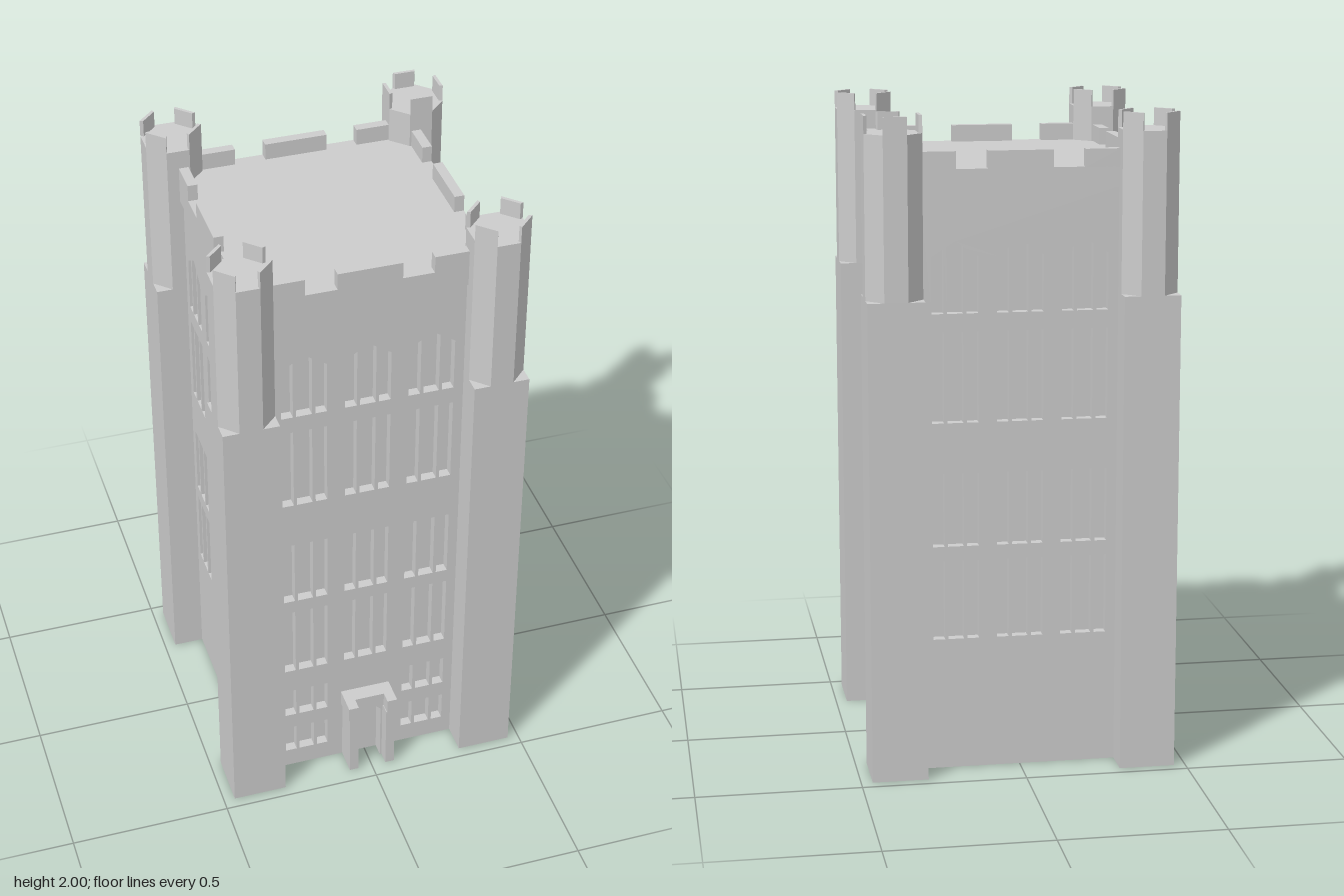
import * as THREE from 'three';

const H = 2, CORNER = 0.38, HALF = 0.085;   // turret centres and half-width
const WALL = 0.37, DEPTH = 0.03;            // wall face and window depth
const material = new THREE.MeshStandardMaterial({ color: 0xcccccc, flatShading: true });

function add(parent, name, geometry, x = 0, y = 0, z = 0) {
  const mesh = new THREE.Mesh(geometry, material);
  mesh.name = name;
  mesh.position.set(x, y, z);
  parent.add(mesh);
  return mesh;
}

// Box given by its extents
function block(parent, name, x0, x1, y0, y1, z0, z1) {
  return add(parent, name, new THREE.BoxGeometry(x1 - x0, y1 - y0, z1 - z0),
    (x0 + x1) / 2, (y0 + y1) / 2, (z0 + z1) / 2);
}

const polygon = (Type, pts) => new Type(pts.map(p => new THREE.Vector2(...p)));

// Three upright lights separated by thin mullions, optionally under a pointed head
function windowHoles(cx, y0, y1, pointed) {
  const spans = [[-0.07, -0.034], [-0.024, 0.024], [0.034, 0.07]];
  const top = x => pointed ? y1 - Math.abs(x) * 0.65 : y1;
  return spans.map(([a, b]) => {
    const pts = [[cx + a, y0], [cx + b, y0], [cx + b, top(b)]];
    if (pointed && a < 0 && b > 0) pts.push([cx, y1]);
    pts.push([cx + a, top(a)]);
    return polygon(THREE.Path, pts);
  });
}

// Wall panel pierced by its windows
function wallGeometry(lowerCentres) {
  const shape = polygon(THREE.Shape, [[-0.3, 0], [0.3, 0], [0.3, 1.78], [-0.3, 1.78]]);
  const upper = [[0.41, 0.655], [0.7, 0.925], [1.08, 1.355], [1.41, 1.625]];
  const lower = [[0.065, 0.165], [0.22, 0.325]];
  for (const cx of [-0.195, 0, 0.195])
    upper.forEach(([a, b], i) => shape.holes.push(...windowHoles(cx, a, b, i === 3)));
  for (const cx of lowerCentres)
    lower.forEach(([a, b]) => shape.holes.push(...windowHoles(cx, a, b, false)));
  return new THREE.ExtrudeGeometry(shape, { depth: DEPTH, bevelEnabled: false });
}

// One side of the tower: wall plus battlements
function createSide(name, angle, lowerCentres) {
  const side = new THREE.Group();
  side.name = name;
  add(side, 'wall', wallGeometry(lowerCentres), 0, 0, WALL - DEPTH);
  for (const [a, b] of [[-0.3, -0.192], [-0.097, 0.097], [0.192, 0.3]])
    block(side, 'merlon', a, b, 1.835, 1.89, 0.35, 0.38);
  side.rotation.y = angle;
  return side;
}

// Square buttress carrying an octagonal turret with four merlons
function createTurret(sx, sz) {
  const turret = new THREE.Group();
  turret.name = 'cornerTurret';
  block(turret, 'buttress', -HALF, HALF, 0, 1.463, -HALF, HALF);
  const radius = HALF / Math.cos(Math.PI / 8);
  const octagon = new THREE.CylinderGeometry(radius, radius, 0.485, 8);
  octagon.rotateY(Math.PI / 8);
  add(turret, 'shaft', octagon, 0, 1.463 + 0.2425, 0);
  const axial = sx > 0 && sz < 0;
  const edge = HALF * Math.tan(Math.PI / 8), t = 0.01;
  // Merlon plan follows the mitred edge of the octagon
  const inner = edge * (HALF - t) / HALF;
  const plan = polygon(THREE.Shape, [[-edge, -HALF], [edge, -HALF], [inner, -HALF + t], [-inner, -HALF + t]]);
  const merlon = new THREE.ExtrudeGeometry(plan, { depth: H - 1.947, bevelEnabled: false });
  merlon.rotateX(-Math.PI / 2);
  for (let i = 0; i < 4; i++)
    add(turret, 'turretMerlon', merlon, 0, 1.947, 0).rotation.y = i * Math.PI / 2 + (axial ? 0 : Math.PI / 4);
  turret.position.set(sx * CORNER, 0, sz * CORNER);
  return turret;
}

function createPortal() {
  const portal = new THREE.Group();
  portal.name = 'entrance';
  // U-shaped hood
  const hood = polygon(THREE.Shape, [[-0.08, -0.36], [-0.08, -0.458], [-0.048, -0.458], [-0.048, -0.42],
    [0.048, -0.42], [0.048, -0.458], [0.08, -0.458], [0.08, -0.36]]);
  const hoodGeometry = new THREE.ExtrudeGeometry(hood, { depth: 0.05, bevelEnabled: false });
  hoodGeometry.rotateX(-Math.PI / 2);
  add(portal, 'hood', hoodGeometry, 0, 0.225, 0);
  for (const s of [-1, 1]) {
    const jamb = block(portal, 'doorJamb', -0.0145, 0.0145, 0, 0.225, 0.36, 0.453);
    jamb.position.x = s * 0.0605;
  }
  // Arched door surround
  const arch = polygon(THREE.Shape, [[-0.05, 0], [-0.04, 0], [-0.04, 0.205], [-0.02, 0.224], [0, 0.23],
    [0.02, 0.224], [0.04, 0.205], [0.04, 0], [0.05, 0], [0.05, 0.25], [-0.05, 0.25]]);
  add(portal, 'doorArch', new THREE.ExtrudeGeometry(arch, { depth: 0.048, bevelEnabled: false }), 0, 0, 0.365);
  return portal;
}

export function createModel() {
  const tower = new THREE.Group();
  tower.name = 'tower';
  const core = WALL - DEPTH;
  block(tower, 'core', -core, core, 0, 1.8, -core, core);
  block(tower, 'parapetAndRoof', -0.38, 0.38, 1.775, 1.838, -0.38, 0.38);
  tower.add(
    createSide('frontSide', 0, [-0.195, 0.195]),
    createSide('leftSide', Math.PI / 2, [-0.19, 0, 0.19]),
    createSide('backSide', Math.PI, []),
    createSide('rightSide', -Math.PI / 2, []),
    createPortal(),
  );
  for (const sx of [-1, 1])
    for (const sz of [-1, 1]) tower.add(createTurret(sx, sz));
  return tower;
}
